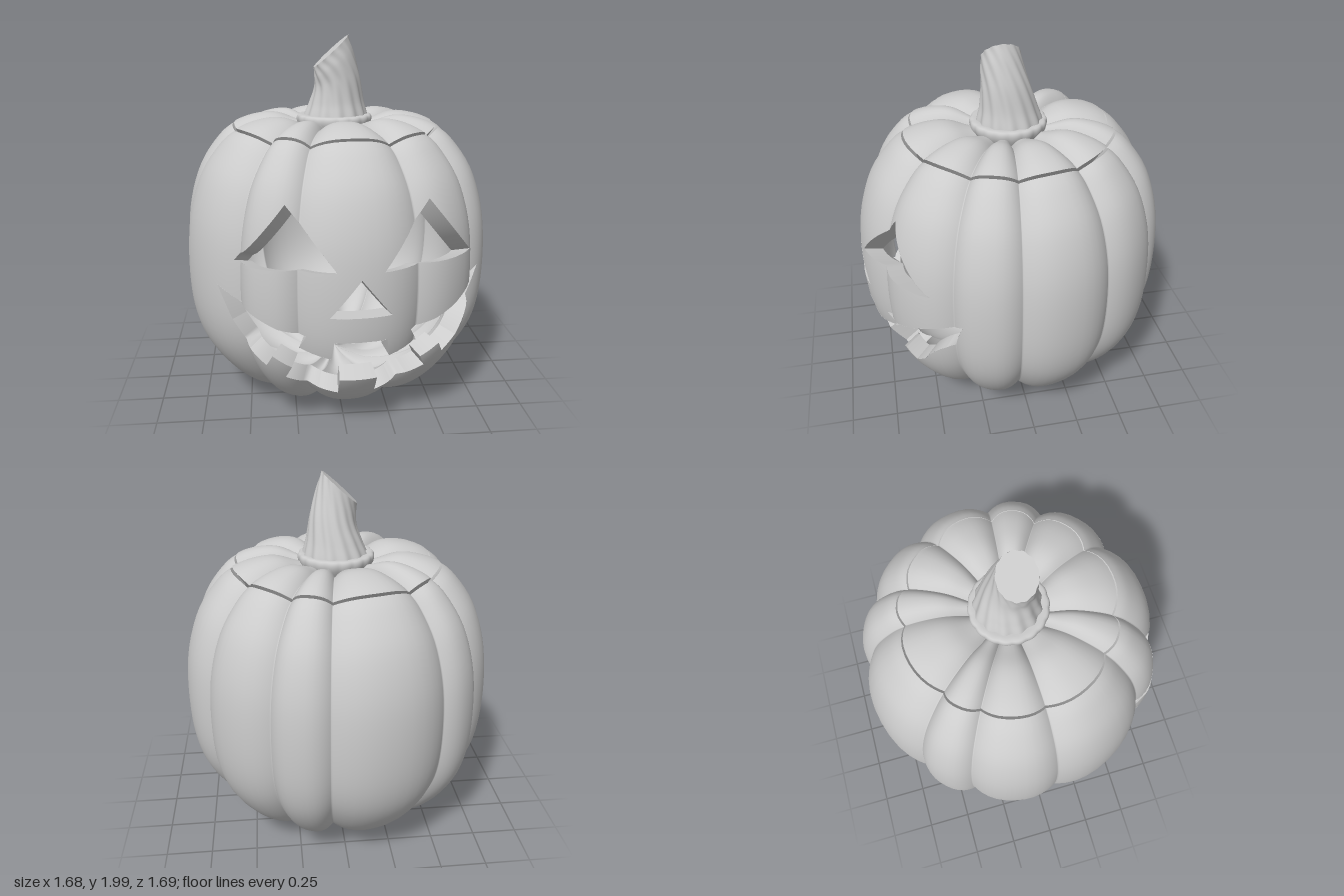
import * as THREE from 'three';
import { mergeVertices } from 'three/addons/utils/BufferGeometryUtils.js';

const V2 = (x, y) => new THREE.Vector2(x, y);
const RAD = Math.PI / 180;
const MID = 0.8;                        // centre height the lobes swell from
const WALL = 0.88, WALL_MID = 0.7;      // inner skin is the outer one shrunk to this

// Half profile (radius, height) from bottom dimple to top dimple
const profile = new THREE.SplineCurve([
  [0, 0.1], [0.1, 0.04], [0.25, 0.01], [0.45, 0.07], [0.62, 0.18], [0.76, 0.36], [0.83, 0.55], [0.85, 0.8],
  [0.83, 1.07], [0.76, 1.3], [0.65, 1.46], [0.56, 1.53], [0.45, 1.57], [0.33, 1.58], [0.2, 1.54], [0, 1.48],
].map(p => V2(...p)));
const BODY_END = 10.88 / 15, LID_START = 11.02 / 15;

// Angles of the grooves between lobes, in degrees from the front towards +x
const grooves = [-18, 25.5, 59, 84, 118.5, 150.5, 172.5, 217.5, 239.5, 274, 319, 342];
const thetas = [];
for (let i = 0; i < grooves.length - 1; i++) {
  for (let s = 0; s < 14; s++) {
    const u = Math.sin((s / 14 - 0.5) * Math.PI);
    thetas.push(RAD * THREE.MathUtils.lerp(grooves[i], grooves[i + 1], (u + 1) / 2));
  }
}
thetas.push(342 * RAD);

function lobe(theta) {
  let d = theta / RAD;
  while (d < -18) d += 360;
  while (d >= 342) d -= 360;
  const i = grooves.findIndex((g, n) => d >= g && d < grooves[n + 1]);
  const u = Math.abs(2 * (d - grooves[i]) / (grooves[i + 1] - grooves[i]) - 1);
  return 1 - 0.063 * Math.pow(u, 2.6);
}

function skin(theta, t, scale = 1) {
  const p = profile.getPoint(t);
  const g = THREE.MathUtils.lerp(1, lobe(theta), Math.min(1, p.x / 0.15)) * scale;
  return new THREE.Vector3(p.x * g * Math.sin(theta), MID + (p.y - MID) * g, p.x * g * Math.cos(theta));
}

const inward = p => new THREE.Vector3(p.x * WALL, WALL_MID + (p.y - WALL_MID) * WALL, p.z * WALL);
const steps = (a, b, n) => Array.from({ length: n + 1 }, (_, i) => a + (b - a) * i / n);

// Smooth surface through fn(u, v)
function grid(us, vs, fn) {
  const pos = [], idx = [], n = us.length;
  for (const v of vs) for (const u of us) pos.push(...fn(u, v).toArray());
  for (let j = 0; j < vs.length - 1; j++) {
    for (let i = 0; i < n - 1; i++) {
      const a = j * n + i;
      idx.push(a, a + 1, a + n + 1, a, a + n + 1, a + n);
    }
  }
  let geo = new THREE.BufferGeometry();
  geo.setAttribute('position', new THREE.Float32BufferAttribute(pos, 3));
  geo.setIndex(idx);
  geo = mergeVertices(geo, 1e-5);
  geo.computeVertexNormals();
  return geo;
}

// Triangles as lists of [x, y, z, nx, ny, nz]
function toPolys(geo) {
  const g = geo.toNonIndexed(), p = g.attributes.position.array, n = g.attributes.normal.array, out = [];
  for (let i = 0; i < p.length; i += 9) {
    out.push([0, 3, 6].map(k => [...p.slice(i + k, i + k + 3), ...n.slice(i + k, i + k + 3)]));
  }
  return out;
}

function fromPolys(polys, inner) {
  const pos = [], nor = [];
  const put = v => {
    const p = new THREE.Vector3(v[0], v[1], v[2]), s = inner ? -1 : 1;
    pos.push(...(inner ? inward(p) : p).toArray());
    nor.push(s * v[3], s * v[4], s * v[5]);
  };
  for (const poly of polys) {
    for (let i = 1; i < poly.length - 1; i++) {
      (inner ? [poly[0], poly[i + 1], poly[i]] : [poly[0], poly[i], poly[i + 1]]).forEach(put);
    }
  }
  const geo = new THREE.BufferGeometry();
  geo.setAttribute('position', new THREE.Float32BufferAttribute(pos, 3));
  geo.setAttribute('normal', new THREE.Float32BufferAttribute(nor, 3));
  return geo;
}

// Split a convex polygon by the line a-b, seen from the front
function split(poly, a, b) {
  const left = [], right = [];
  const side = p => (b.x - a.x) * (p[1] - a.y) - (b.y - a.y) * (p[0] - a.x);
  poly.forEach((p, i) => {
    const q = poly[(i + 1) % poly.length], sp = side(p), sq = side(q);
    (sp >= 0 ? left : right).push(p);
    if ((sp >= 0) !== (sq >= 0)) {
      const m = p.map((c, k) => c + (q[k] - c) * sp / (sp - sq));
      left.push(m);
      right.push(m);
    }
  });
  return [left, right];
}

// Remove a triangle (cut straight from the front) from the polygons
function subtract(polys, tri) {
  const box = new THREE.Box2().setFromPoints(tri);
  return polys.flatMap(poly => {
    const pb = new THREE.Box2().setFromPoints(poly.map(p => V2(p[0], p[1])));
    if (poly[0][2] < 0 || !box.intersectsBox(pb)) return [poly];
    const keep = [];
    let rest = poly;
    for (let e = 0; e < 3 && rest.length > 2; e++) {
      const [inside, outside] = split(rest, tri[e], tri[(e + 1) % 3]);
      if (outside.length > 2) keep.push(outside);
      rest = inside;
    }
    return rest.length > 2 ? keep : [poly];
  });
}

function bisect(lo, hi, below) {
  for (let i = 0; i < 26; i++) {
    const m = (lo + hi) / 2;
    if (below(m)) lo = m; else hi = m;
  }
  return lo;
}

// Point on the front skin at a given x, y
function onFront(x, y) {
  const z = bisect(0, 1, z => {
    const g = lobe(Math.atan2(x, z)), h = MID + (y - MID) / g;
    const t = bisect(2 / 15, 12 / 15, t => profile.getPoint(t).y < h);
    return Math.hypot(x, z) < g * profile.getPoint(t).x;
  });
  return new THREE.Vector3(x, y, z);
}

// Face openings, mirrored about x = 0.05
const FACE_X = 0.05;
const at = (pts, s = 1) => pts.map(([x, y]) => V2(FACE_X + s * x, y));
const eye = [[0.11, 0.95], [0.6, 0.95], [0.35, 1.255]];
const mouthHalf = [
  [0.095, 0.355], [0.095, 0.24], [0.19, 0.262], [0.27, 0.295], [0.36, 0.35], [0.33, 0.42], [0.425, 0.49], [0.455, 0.42],
  [0.535, 0.49], [0.62, 0.63], [0.69, 0.805], [0.52, 0.705], [0.4, 0.65], [0.26, 0.612], [0.295, 0.535], [0.145, 0.5], [0.13, 0.6],
];
const openings = {
  leftEye: at(eye), rightEye: at(eye, -1).reverse(),
  nose: at([[-0.15, 0.73], [0.15, 0.73], [0, 0.92]]),
  mouth: [...at(mouthHalf), ...at(mouthHalf, -1).reverse()],
};

export function createModel() {
  const group = new THREE.Group();
  const grey = new THREE.MeshStandardMaterial({ color: 0xcccccc });
  const both = new THREE.MeshStandardMaterial({ color: 0xcccccc, side: THREE.DoubleSide });
  const add = (name, geo, mat = grey) => {
    const m = new THREE.Mesh(geo, mat);
    m.name = name;
    group.add(m);
  };

  // Hollow body with the face cut out
  let shell = toPolys(grid(thetas, steps(0, BODY_END, 48), (a, t) => skin(a, t)));
  for (const outline of Object.values(openings)) {
    for (const face of THREE.ShapeUtils.triangulateShape(outline, [])) {
      const tri = face.map(i => outline[i]);
      if (THREE.ShapeUtils.area(tri) < 0) tri.reverse();
      shell = subtract(shell, tri);
    }
  }
  add('bodyOuterSkin', fromPolys(shell, false));
  add('bodyInnerSkin', fromPolys(shell, true));

  // Walls of the openings through the thickness of the shell
  for (const [name, outline] of Object.entries(openings)) {
    outline.forEach((a, i) => {
      const b = outline[(i + 1) % outline.length];
      const n = Math.max(2, Math.ceil(a.distanceTo(b) / 0.02));
      add(name + 'Wall', grid(steps(0, 1, n), [0, 1], (u, v) => {
        const p = onFront(a.x + (b.x - a.x) * u, a.y + (b.y - a.y) * u);
        return v ? inward(p) : p;
      }), both);
    });
  }

  // Cut lid and the two rims along its seam
  const lid = toPolys(grid(thetas, steps(LID_START, 1, 20), (a, t) => skin(a, t, 1.006)));
  add('lidTop', fromPolys(lid, false));
  add('lidUnderside', fromPolys(lid, true));
  for (const [name, t, s] of [['bodyRim', BODY_END, 1], ['lidRim', LID_START, 1.006]]) {
    add(name, grid(thetas, [0, 1], (a, v) => v ? inward(skin(a, t, s)) : skin(a, t, s)), both);
  }

  // Scalloped collar under the stem
  const around = steps(0, Math.PI * 2, 128);
  const collar = new THREE.SplineCurve([V2(0.17, 1.48), V2(0.197, 1.53), V2(0.203, 1.565), V2(0.188, 1.583), V2(0.14, 1.58)]);
  add('stemCollar', grid(around, steps(0, 1, 12), (a, t) => {
    const p = collar.getPoint(t), r = p.x * (1 + 0.025 * Math.abs(Math.sin(a * 9)));
    return new THREE.Vector3(r * Math.sin(a), p.y, r * Math.cos(a));
  }));

  // Twisted, leaning stem: centre line, and (radius, slant) along it
  const spine = new THREE.CatmullRomCurve3([[0.005, 1.55, -0.005], [0.01, 1.65, 0], [0.012, 1.76, 0.015], [-0.005, 1.85, 0.03], [-0.022, 1.92, 0.035]]
    .map(p => new THREE.Vector3(...p)));
  const girth = new THREE.SplineCurve([V2(0.178, 0), V2(0.148, 0.06), V2(0.122, 0.3), V2(0.104, 0.65), V2(0.092, 0.9)]);
  const stemPoint = (a, t) => {
    const c = spine.getPoint(t), g = girth.getPoint(t);
    const r = g.x * (1 + 0.035 * Math.cos(13 * (a + 0.9 * t * t)) * (1 - 0.4 * t));
    const x = r * Math.sin(a);
    return new THREE.Vector3(c.x + x, c.y + x * g.y, c.z + r * Math.cos(a) * (1 + 0.1 * t));
  };
  add('stem', grid(around, steps(0, 1, 28), stemPoint));
  add('stemCutEnd', grid(around, [0, 1], (a, v) => v ? spine.getPoint(1) : stemPoint(a, 1)));
  return group;
}
